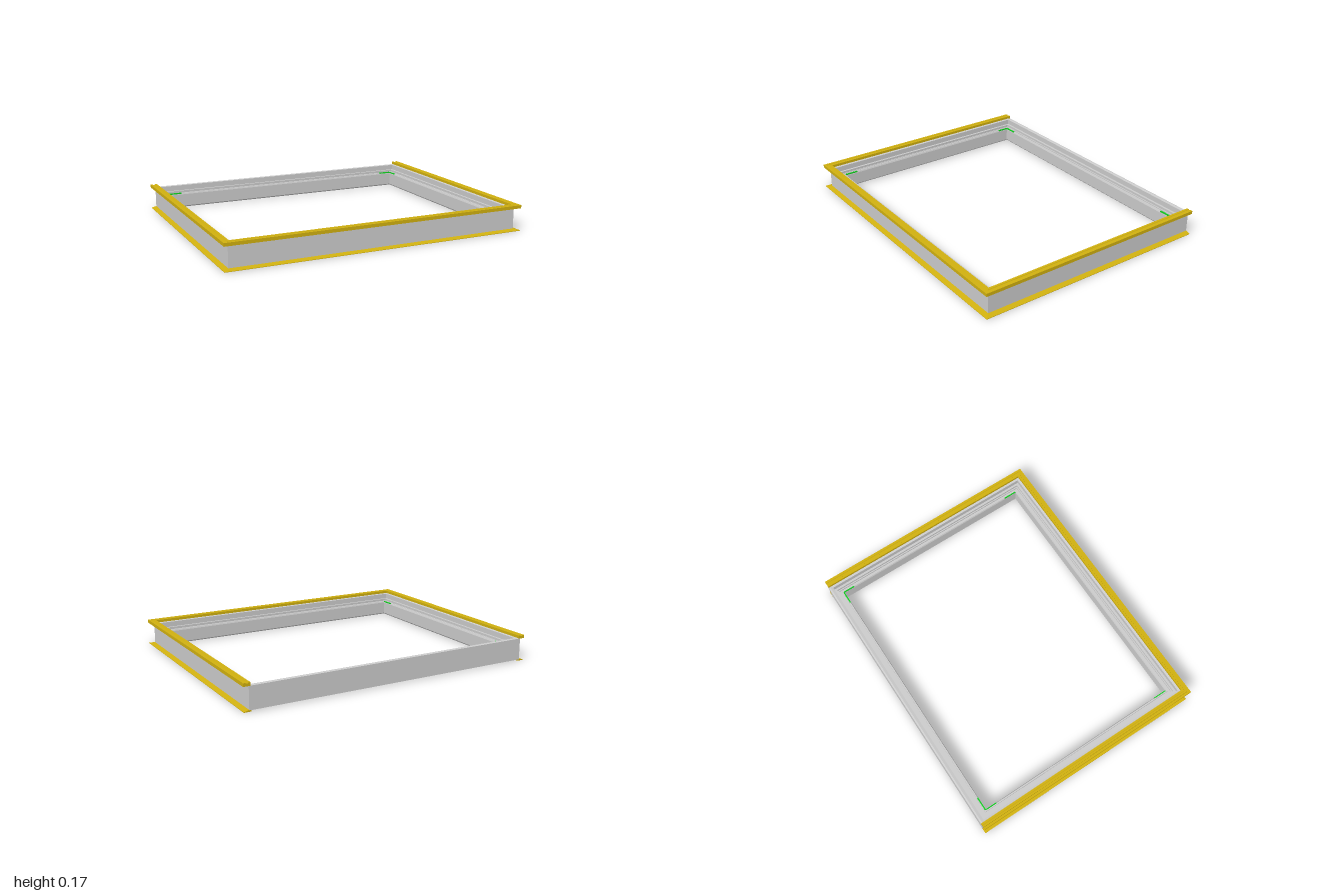
import * as THREE from 'three';

const HALF_X = 0.967, FRONT = 0.77, BACK = -0.8; // outer faces of the wall

const grey = new THREE.MeshStandardMaterial({ color: 0xcccccc, flatShading: true });
const yellow = new THREE.MeshStandardMaterial({ color: 0xd0b010, flatShading: true, side: THREE.DoubleSide });
const green = new THREE.MeshStandardMaterial({ color: 0x10d020 });

// Sweeps a profile of [inset, height] points around the frame with mitred corners.
// A closed sweep has four sides; an open one leaves the back free and caps its ends.
function sweep(name, profile, closed, material) {
  const corner = (i, [d, y]) => {
    const x = (HALF_X - d) * (i < 2 ? -1 : 1);
    const z = i === 1 || i === 2 ? FRONT - d : BACK + (closed ? d : 0);
    return [x, y, z];
  };
  const pos = [];
  for (let i = 0; i < (closed ? 4 : 3); i++) {
    const j = (i + 1) % 4;
    profile.forEach((a, k) => {
      const b = profile[(k + 1) % profile.length];
      const a0 = corner(i, a), a1 = corner(j, a), b0 = corner(i, b), b1 = corner(j, b);
      pos.push(...a0, ...a1, ...b0, ...a1, ...b1, ...b0);
    });
  }
  if (!closed) {
    const outline = profile.map(([d, y]) => new THREE.Vector2(d, y));
    for (const tri of THREE.ShapeUtils.triangulateShape(outline, [])) {
      for (const end of [0, 3]) tri.forEach((k) => pos.push(...corner(end, profile[k])));
    }
  }
  const geometry = new THREE.BufferGeometry();
  geometry.setAttribute('position', new THREE.Float32BufferAttribute(pos, 3));
  geometry.computeVertexNormals();
  const mesh = new THREE.Mesh(geometry, material);
  mesh.name = name;
  return mesh;
}

export function createModel() {
  const model = new THREE.Group();
  model.name = 'windowFrame';

  // Grey frame: tall outer wall, stepped ledge, inner bead and grooved underside
  model.add(sweep('frame', [
    [0, 0.008], [0, 0.15], [0.01, 0.153], [0.027, 0.15], [0.027, 0.115],
    [0.042, 0.115], [0.042, 0.1], [0.05, 0.1], [0.05, 0.09], [0.065, 0.09],
    [0.065, 0.105], [0.074, 0.105], [0.078, 0.095], [0.078, 0.012], [0.07, 0.003],
    [0.05, 0.003], [0.05, 0.012], [0.03, 0.012], [0.03, 0.003], [0.012, 0.003], [0.012, 0.008],
  ], true, grey));

  // Yellow cap with a shallow groove, on three sides
  model.add(sweep('topTrim', [
    [-0.033, 0.149], [-0.033, 0.17], [-0.018, 0.17], [-0.016, 0.166], [-0.004, 0.166],
    [-0.002, 0.17], [0.012, 0.17], [0.012, 0.149],
  ], false, yellow));

  // Tapered yellow flange at the foot, on three sides
  model.add(sweep('bottomFlange', [
    [-0.033, 0], [-0.033, 0.003], [0, 0.011], [0.012, 0.011], [0.012, 0],
  ], false, yellow));

  // Thin green gasket pieces at the corners of the opening
  const strip = (name, w, l, x, z) => {
    const mesh = new THREE.Mesh(new THREE.BoxGeometry(w, 0.008, l), green);
    mesh.name = name;
    mesh.position.set(x, 0.103, z);
    model.add(mesh);
  };
  for (const s of [-1, 1]) {
    strip('backGasket', 0.09, 0.008, s * 0.845, -0.727);
    strip('rearSideGasket', 0.006, 0.08, s * 0.892, -0.685);
    strip('frontSideGasket', 0.006, 0.09, s * 0.892, 0.645);
  }
  return model;
}
